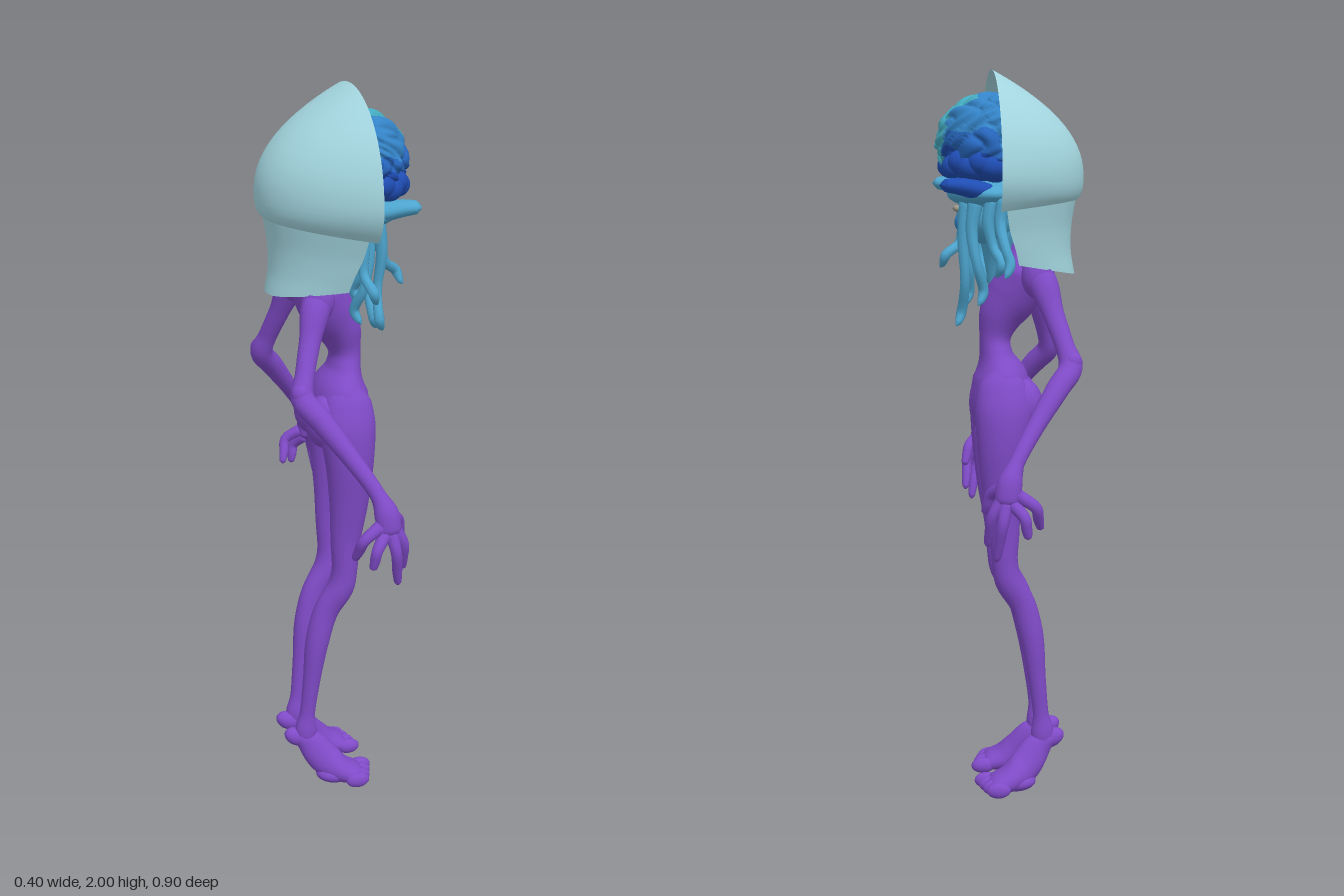
import * as THREE from 'three';

const mat = (name, color, double) => {
  const m = new THREE.MeshStandardMaterial({ color });
  m.name = name;
  if (double) m.side = THREE.DoubleSide;
  return m;
};

// Loft of oval rings along a smooth path; each point is [x, y, z, depthRadius, widthRadius]
function loft(points, sides = 16, steps = 5) {
  const curve = new THREE.CatmullRomCurve3(points.map(p => new THREE.Vector3(p[0], p[1], p[2])));
  const radii = new THREE.CatmullRomCurve3(points.map(p => new THREE.Vector3(p[3], p[4] ?? p[3], 0)));
  const rings = (points.length - 1) * steps, pos = [], idx = [];
  for (let i = 0; i <= rings; i++) {
    const c = curve.getPoint(i / rings), r = radii.getPoint(i / rings), t = curve.getTangent(i / rings);
    const a = new THREE.Vector3().crossVectors(t, new THREE.Vector3(0, 0, 1)).normalize();
    const b = new THREE.Vector3().crossVectors(a, t);
    for (let j = 0; j < sides; j++) {
      const q = j / sides * Math.PI * 2;
      const p = c.clone().addScaledVector(a, Math.cos(q) * r.x).addScaledVector(b, Math.sin(q) * r.y);
      pos.push(p.x, p.y, p.z);
      const k = (j + 1) % sides, o = i * sides;
      if (i < rings) idx.push(o + j, o + sides + j, o + k, o + k, o + sides + j, o + sides + k);
    }
  }
  const n = pos.length / 3;
  pos.push(...points[0].slice(0, 3), ...points[points.length - 1].slice(0, 3));
  for (let j = 0; j < sides; j++) {
    const k = (j + 1) % sides, o = rings * sides;
    idx.push(n, j, k, n + 1, o + k, o + j);
  }
  const g = new THREE.BufferGeometry();
  g.setAttribute('position', new THREE.Float32BufferAttribute(pos, 3));
  g.setIndex(idx);
  g.computeVertexNormals();
  return g;
}

// Open shell wrapped round the back; row(v) gives [y, halfWidth, backX, rimX, lift at the back]
function shell(row) {
  const nu = 40, nv = 28, g = new THREE.PlaneGeometry(1, 1, nu, nv), p = g.attributes.position;
  for (let v = 0; v <= nv; v++) for (let u = 0; u <= nu; u++) {
    const [y, w, back, rim, lift] = row(v / nv), t = Math.sin((u / nu - 0.5) * Math.PI);
    p.setXYZ(v * (nu + 1) + u, back + (rim - back) * Math.abs(t) ** 2.15, y + lift * (1 - t * t), -w * t);
  }
  g.computeVertexNormals();
  return g;
}

// Splits a geometry into material groups by the centre of each face
function paint(g, pick, count) {
  const buckets = Array.from({ length: count }, () => []), ix = g.index.array, p = g.attributes.position;
  const c = new THREE.Vector3(), v = new THREE.Vector3();
  for (let i = 0; i < ix.length; i += 3) {
    c.set(0, 0, 0);
    for (let k = 0; k < 3; k++) c.addScaledVector(v.fromBufferAttribute(p, ix[i + k]), 1 / 3);
    buckets[pick(c)].push(ix[i], ix[i + 1], ix[i + 2]);
  }
  g.setIndex(buckets.flat());
  let start = 0;
  buckets.forEach((b, m) => { g.addGroup(start, b.length, m); start += b.length; });
  return g;
}

export function createModel() {
  const model = new THREE.Group();
  model.name = 'alien';
  const skin = mat('purple skin', 0x804bc8), helmetMat = mat('pale teal shell', 0xa5d8e2, true);
  const deep = mat('deep blue', 0x1f4db4), royal = mat('royal blue', 0x2767be), blue = mat('mid blue', 0x3484c8);
  const teal = mat('teal', 0x45adc2), face = mat('light blue', 0x4da5cf), beige = mat('grey beige', 0x989688);
  const add = (name, g, m) => {
    const mesh = new THREE.Mesh(g, m);
    mesh.name = name;
    model.add(mesh);
  };
  const blob = (name, m, c, r, tilt = 0) => {
    const g = new THREE.SphereGeometry(1, 24, 16).scale(...r).rotateZ(tilt).translate(...c);
    add(name, g, m);
  };

  // Bowl-shaped helmet, open to the front (+x)
  add('helmetDome', shell(v => {
    const a = Math.PI / 2 - v * 1.89, s = Math.sin(a), low = Math.max(0, -s);
    return [1.72 + 0.28 * s, 0.322 * Math.cos(a) - 0.25 * low * low, -0.2 + 0.25 * Math.abs(s) ** 2.1 - 0.01 * low, 0.05, 0.8 * low ** 3];
  }), helmetMat);

  // Neck guard hanging inside the back of the dome
  const guard = [[1.65, 0.262, -0.182, 0.035], [1.58, 0.235, -0.168, 0.022], [1.53, 0.215, -0.168, 0.005], [1.49, 0.2, -0.178, -0.005]];
  const guardA = new THREE.CatmullRomCurve3(guard.map(r => new THREE.Vector3(...r)));
  const guardB = new THREE.CatmullRomCurve3(guard.map(r => new THREE.Vector3(r[3], 0, 0)));
  add('neckGuard', shell(v => {
    const a = guardA.getPoint(v);
    return [a.x, a.y, a.z, guardB.getPoint(v).x, 0.02 - 0.055 * v];
  }), helmetMat);
  blob('helmetPatch', blue, [0.02, 1.678, -0.245], [0.009, 0.02, 0.028]);

  // Folded brain with a groove between its halves
  const brain = new THREE.SphereGeometry(1, 128, 88), bp = brain.attributes.position;
  const v = new THREE.Vector3();
  for (let i = 0; i < bp.count; i++) {
    v.fromBufferAttribute(bp, i);
    const s = Math.abs(v.z);
    const wx = v.x * 8 + 1.5 * Math.sin(v.y * 7 + v.z * 4), wz = s * 9 + 1.2 * Math.sin(v.x * 5 + v.y * 4 + v.z);
    const fold = Math.sqrt(Math.abs(Math.sin(wx + v.y * 4) * Math.cos(wz - v.y * 4)));
    const k = 0.91 + 0.12 * fold - 0.12 * Math.exp(-s * s * 350);
    const base = v.y < 0 ? 0.118 : 0.135;
    bp.setXYZ(i, 0.05 + v.x * k * 0.15, 1.805 + v.y * k * base, v.z * k * 0.21);
  }
  brain.computeVertexNormals();
  paint(brain, c => {
    const n = Math.sin(c.x * 38 + 1) * Math.sin(c.z * 31 + 2) + 0.5 * Math.sin(c.y * 60 + c.z * 25);
    const side = Math.abs(c.z);
    if (c.y + n * 0.018 < 1.775 && side > 0.05) return 0;
    if (c.y + n * 0.03 < 1.82 && side > 0.08) return 1;
    return side < 0.065 + n * 0.04 && c.x > 0.09 ? 3 : 2;
  }, 4);
  add('brain', brain, [deep, royal, blue, teal]);

  for (const s of [-1, 1]) {
    // Lower brain lobes
    for (let i = 0; i < 5; i++) {
      const a = 0.1 + i * 0.27;
      blob('lowerLobe', deep, [0.05 + 0.11 * Math.sin(a), 1.745 + 0.012 * (i % 2), s * (0.045 + 0.125 * Math.cos(a))],
        [0.038, 0.034, 0.036]);
    }
    // Flat lobes pointing forward from the sides of the head
    add('sideLobe', loft([
      [0.05, 1.675, s * 0.125, 0.02, 0.04], [0.1, 1.685, s * 0.145, 0.025, 0.04], [0.15, 1.695, s * 0.162, 0.022, 0.035],
      [0.184, 1.697, s * 0.17, 0.017, 0.029], [0.196, 1.697, s * 0.173, 0.004, 0.014]]), s > 0 ? face : deep);
  }

  // Head below the brain
  blob('headBrim', face, [0.055, 1.672, 0], [0.115, 0.04, 0.195]);
  blob('jaw', face, [0.06, 1.61, 0], [0.085, 0.075, 0.11]);
  add('throat', loft([[0.04, 1.63, 0, 0.07, 0.09], [0.03, 1.56, 0, 0.055, 0.07], [0.035, 1.49, 0, 0.035, 0.035],
    [0.045, 1.42, 0, 0.012, 0.01]]), face);
  blob('mouth', blue, [0.125, 1.595, 0], [0.025, 0.028, 0.04]);
  for (const z of [-0.018, 0.018]) blob('tooth', beige, [0.143, 1.632, z], [0.01, 0.009, 0.013]);

  // Hanging tentacles: root x, root z, end x, end z, end y
  const tentacles = [
    [0.03, 0.17, 0.06, 0.225, 1.46], [0.05, 0.15, 0.04, 0.14, 1.39], [0.10, 0.1, 0.11, 0.115, 1.36],
    [0.11, 0.06, 0.18, 0.055, 1.47], [0.12, -0.08, 0.145, -0.055, 1.32], [0.08, 0.045, 0.07, 0.03, 1.42],
    [0.10, -0.11, 0.09, -0.115, 1.38], [0.06, -0.15, 0.05, -0.2, 1.46], [0.03, -0.17, 0.03, -0.235, 1.46]];
  tentacles.forEach(([x, z, ex, ez, ey], i) => {
    const h = 1.66 - ey, sway = i % 2 ? 0.012 : -0.012;
    add('tentacle', loft([
      [x, 1.66, z, 0.022], [x + 0.012, 1.66 - h * 0.3, z * 1.04, 0.016], [x + (ex - x) * 0.3, 1.66 - h * 0.65, z + (ez - z) * 0.5 + sway, 0.013],
      [ex - 0.01, ey + 0.035, ez - sway, 0.014], [ex, ey + 0.008, ez, 0.009], [ex + 0.006, ey, ez + sway * 0.4, 0.002]], 8, 4),
      face);
  });

  // Torso from neck to pelvis
  add('torso', loft([
    [-0.03, 1.6, 0, 0.035, 0.035], [-0.03, 1.52, 0, 0.045, 0.06], [-0.035, 1.46, 0, 0.068, 0.115], [-0.01, 1.4, 0, 0.072, 0.1],
    [0.025, 1.34, 0, 0.06, 0.075], [0.04, 1.28, 0, 0.043, 0.058], [0.037, 1.235, 0, 0.046, 0.075],
    [0.027, 1.18, 0, 0.074, 0.116], [0.022, 1.1, 0, 0.088, 0.13], [0.02, 1.04, 0, 0.065, 0.09], [0.02, 1.01, 0, 0.02, 0.03]], 28), skin);
  blob('belly', skin, [0.07, 1.1, 0], [0.042, 0.085, 0.055]);

  for (const s of [-1, 1]) {
    const limb = (name, pts, sides) => add(name, loft(pts.map(([x, y, z, a, b]) => [x, y, z * s, a, b ?? a]), sides), skin);
    blob('buttock', skin, [-0.028, 1.1, s * 0.062], [0.058, 0.075, 0.06]);

    // Leg and raised heel
    limb('leg', [
      [0.03, 1.21, 0.07, 0.02, 0.02], [0.028, 1.16, 0.08, 0.065, 0.045], [0.025, 1.08, 0.088, 0.078, 0.062], [0.03, 0.99, 0.09, 0.068, 0.06],
      [0.03, 0.87, 0.085, 0.055, 0.048], [0.022, 0.75, 0.08, 0.042, 0.037], [0.02, 0.66, 0.077, 0.036, 0.036],
      [0.01, 0.61, 0.074, 0.038, 0.037], [-0.03, 0.54, 0.068, 0.036, 0.03], [-0.055, 0.45, 0.065, 0.034, 0.031],
      [-0.072, 0.32, 0.06, 0.025, 0.024], [-0.083, 0.22, 0.056, 0.022, 0.02], [-0.088, 0.16, 0.055, 0.032, 0.025],
      [-0.085, 0.12, 0.057, 0.024, 0.02]], 20);
    blob('heel', skin, [-0.115, 0.14, s * 0.05], [0.038, 0.026, 0.024], -0.5);
    limb('foot', [
      [-0.11, 0.145, 0.054, 0.02, 0.022], [-0.072, 0.115, 0.06, 0.042, 0.028], [-0.035, 0.068, 0.075, 0.047, 0.036],
      [0.005, 0.04, 0.09, 0.038, 0.05], [0.05, 0.027, 0.097, 0.026, 0.055], [0.072, 0.024, 0.098, 0.012, 0.045]], 18);
    blob('sole', skin, [-0.008, 0.03, s * 0.087], [0.058, 0.028, 0.046]);
    [0.057, 0.088, 0.117, 0.142].forEach((z, i) =>
      blob('toe', skin, [0.071 - i * 0.009, 0.023, s * z], [0.034, 0.0225, 0.019 - i * 0.001]));

    // Shoulder and arm
    blob('shoulder', skin, [-0.065, 1.455, s * 0.115], [0.045, 0.06, 0.042]);
    limb('arm', [
      [-0.05, 1.49, 0.09, 0.03], [-0.075, 1.44, 0.13, 0.04, 0.036], [-0.1, 1.36, 0.165, 0.029, 0.027], [-0.125, 1.28, 0.205, 0.026],
      [-0.138, 1.225, 0.232, 0.032], [-0.1, 1.175, 0.27, 0.031], [-0.035, 1.085, 0.328, 0.024],
      [0.02, 1.0, 0.38, 0.021], [0.04, 0.95, 0.4, 0.033, 0.028], [0.045, 0.91, 0.405, 0.034, 0.027], [0.045, 0.885, 0.405, 0.01]], 16);
    blob('elbow', skin, [-0.143, 1.238, s * 0.234], [0.026, 0.028, 0.025]);

    // Fingers: root, knuckle and tip
    const fingers = [
      [[0.02, 0.92, 0.41], [-0.025, 0.89, 0.42], [-0.042, 0.825, 0.385]],
      [[0.035, 0.9, 0.41], [0.005, 0.865, 0.437], [-0.005, 0.81, 0.43]],
      [[0.05, 0.9, 0.41], [0.06, 0.85, 0.425], [0.075, 0.745, 0.395]],
      [[0.06, 0.91, 0.405], [0.085, 0.865, 0.405], [0.095, 0.78, 0.37]],
      [[0.055, 0.94, 0.395], [0.085, 0.915, 0.36], [0.1, 0.86, 0.337]]];
    fingers.forEach(([a, k, t], i) => limb(i < 4 ? 'finger' : 'thumb',
      [[...a, 0.018], [...k, 0.015], ...[0.5, 0.9, 1].map((f, j) =>
        [...k.map((c, n) => c + (t[n] - c) * f), [0.014, 0.01, 0.002][j]])], 10));
  }
  return model;
}
